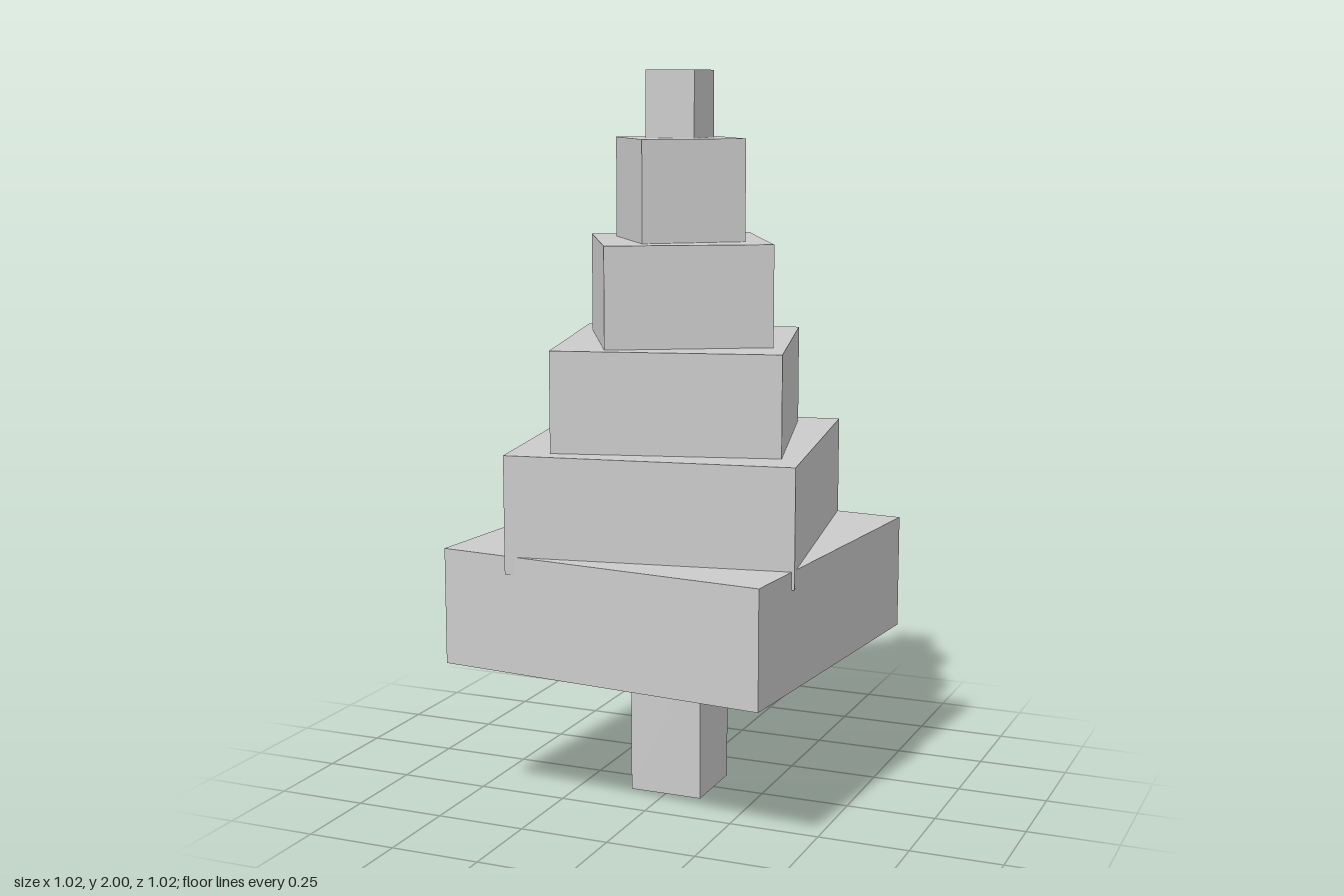
import * as THREE from 'three';

const material = new THREE.MeshStandardMaterial({ color: 0xcccccc, flatShading: true });

// Square block from height y0 to y1, turned about the vertical axis
function block(name, side, y0, y1, degrees = 0) {
  const mesh = new THREE.Mesh(new THREE.BoxGeometry(side, y1 - y0, side), material);
  mesh.name = name;
  mesh.position.y = (y0 + y1) / 2;
  mesh.rotation.y = THREE.MathUtils.degToRad(degrees);
  return mesh;
}

export function createModel() {
  const tree = new THREE.Group();
  tree.name = 'blockTree';

  tree.add(block('trunk', 0.208, 0, 0.45));

  // Twisting foliage tiers, each sunk slightly into the one below: [side, degrees]
  const tiers = [[0.939, -5.2], [0.777, 10], [0.612, 15.3], [0.449, 29], [0.285, 38]];
  const height = 0.32, step = 0.2725, base = 0.41;
  tiers.forEach(([side, degrees], i) => {
    const y = base + i * step;
    tree.add(block(`foliageTier${i + 1}`, side, y, y + height, degrees));
  });

  tree.add(block('treeTop', 0.141, 1.77, 2));
  return tree;
}
